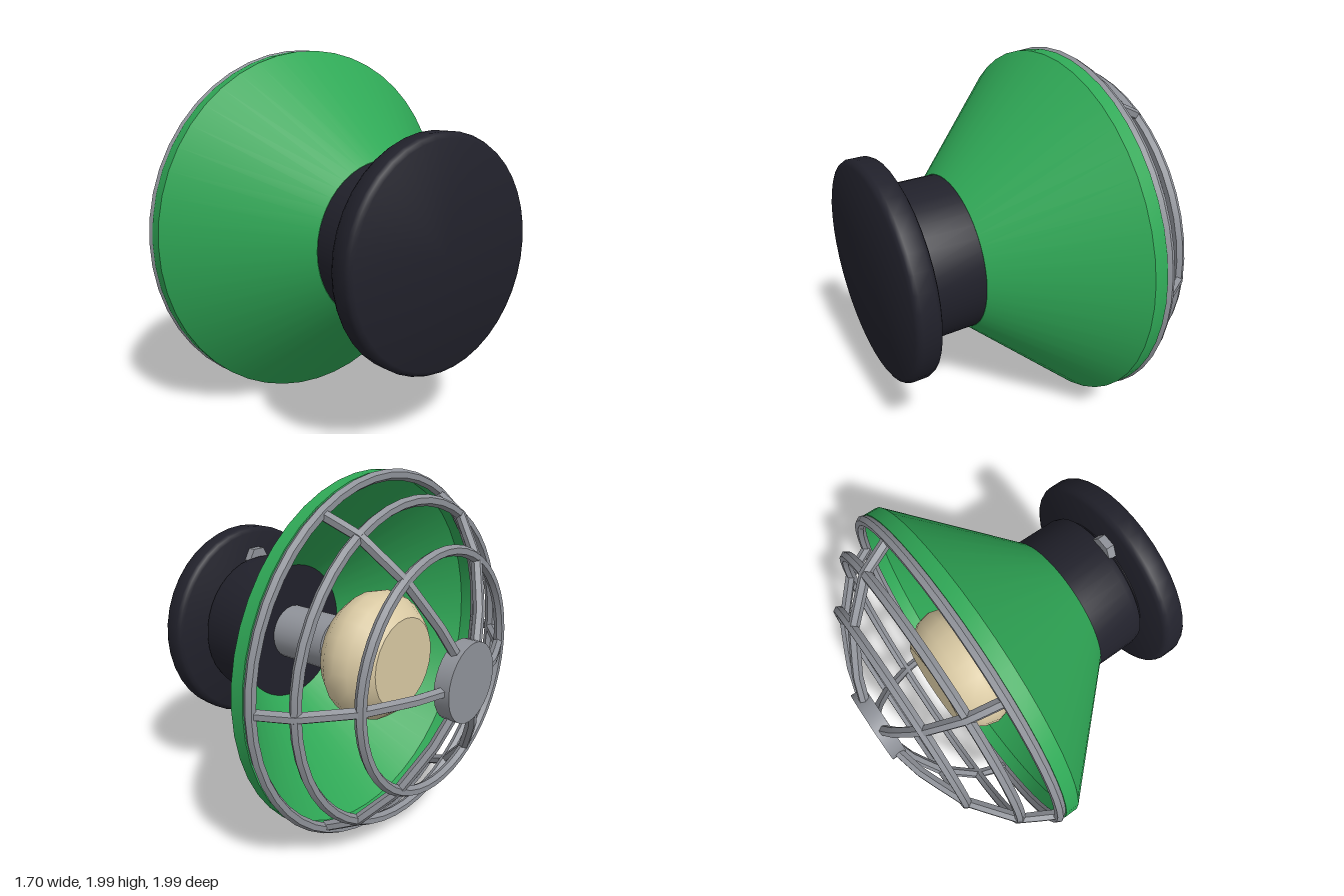
import * as THREE from 'three';
import { toCreasedNormals } from 'three/addons/utils/BufferGeometryUtils.js';

const mat = (name, color, extra = {}) => Object.assign(new THREE.MeshStandardMaterial({ color, ...extra }), { name });

export function createModel() {
  const green = mat('shadeGreen', 0x2fa856);
  const black = mat('baseBlack', 0x21212b);
  const grey = mat('metalGrey', 0x8f9299);
  const cream = mat('bulbCream', 0xd8c8a2);

  // The lamp lies along x; every part is turned about this axis
  const lamp = new THREE.Group();
  lamp.name = 'cagedLamp';
  lamp.position.y = 1;

  const add = (name, geometry, material, parent = lamp) => {
    const mesh = new THREE.Mesh(geometry, material);
    mesh.name = name;
    parent.add(mesh);
    return mesh;
  };

  // Profile points are [radius, x]
  const turned = (name, profile, material, segments = 40, crease = 0.5) => {
    const geo = new THREE.LatheGeometry(profile.map(([r, x]) => new THREE.Vector2(r, x)), segments);
    geo.rotateZ(-Math.PI / 2);
    return add(name, toCreasedNormals(geo, crease), material);
  };

  // Wall plate and neck
  turned('wallPlate', [[0, 0.71], [0.565, 0.71], [0.585, 0.72], [0.595, 0.74],
    [0.595, 0.82], [0.585, 0.84], [0.565, 0.85], [0, 0.85]], black, 40, 0.7);
  turned('neck', [[0, 0.39], [0.425, 0.39], [0.425, 0.65], [0.415, 0.685],
    [0.385, 0.705], [0.385, 0.72], [0, 0.72]], black, 40, 0.7);

  // Bolts above and below the neck
  for (const side of [1, -1]) {
    const bolt = add('plateBolt', new THREE.CylinderGeometry(0.075, 0.075, 0.05, 6).toNonIndexed(), grey);
    bolt.geometry.computeVertexNormals();
    bolt.rotation.z = Math.PI / 2;
    bolt.position.set(0.69, side * 0.405, 0);
  }

  // Conical shade, open at the front
  turned('shade', [[0.97, -0.275], [0.99, -0.275], [0.99, -0.2], [0.427, 0.395],
    [0.4, 0.395], [0.965, -0.2], [0.97, -0.275]], green, 48);

  // Socket and bulb
  turned('socket', [[0, 0.02], [0.16, 0.02], [0.16, 0.4], [0, 0.4]], grey, 24);
  turned('bulb', [[0, -0.44], [0.25, -0.44], [0.28, -0.415], [0.345, -0.33], [0.365, -0.25],
    [0.345, -0.17], [0.29, -0.1], [0.2, -0.05], [0.13, -0.02], [0.13, 0.04], [0, 0.04]], cream, 24, 0.65);

  // Guard cage: rings, ribs and centre cap
  const cage = new THREE.Group();
  cage.name = 'guardCage';
  lamp.add(cage);
  const wire = 0.029;
  for (const [name, x, radius] of [['rimRing', -0.3, 0.968], ['outerRing', -0.47, 0.855], ['innerRing', -0.655, 0.63]]) {
    const geo = new THREE.TorusGeometry(radius, wire, 6, 48);
    geo.rotateY(Math.PI / 2);
    add(name, toCreasedNormals(geo, 0.5), grey, cage).position.x = x;
  }

  const ribPath = new THREE.CurvePath();
  const ribPoints = [[-0.3, 0.955], [-0.47, 0.86], [-0.65, 0.63], [-0.76, 0.37], [-0.81, 0.17]]
    .map(([x, r]) => new THREE.Vector3(x, 0, r));
  for (let i = 1; i < ribPoints.length; i++) ribPath.add(new THREE.LineCurve3(ribPoints[i - 1], ribPoints[i]));
  const ribGeo = toCreasedNormals(new THREE.TubeGeometry(ribPath, 10, wire, 6), 0.5);
  for (let i = 0; i < 6; i++) {
    add('rib', ribGeo, grey, cage).rotation.x = i * Math.PI / 3;
  }
  turned('centreCap', [[0, -0.85], [0.21, -0.85], [0.21, -0.765], [0, -0.765]], grey, 32);

  const model = new THREE.Group();
  model.name = 'lampModel';
  model.add(lamp);
  return model;
}
